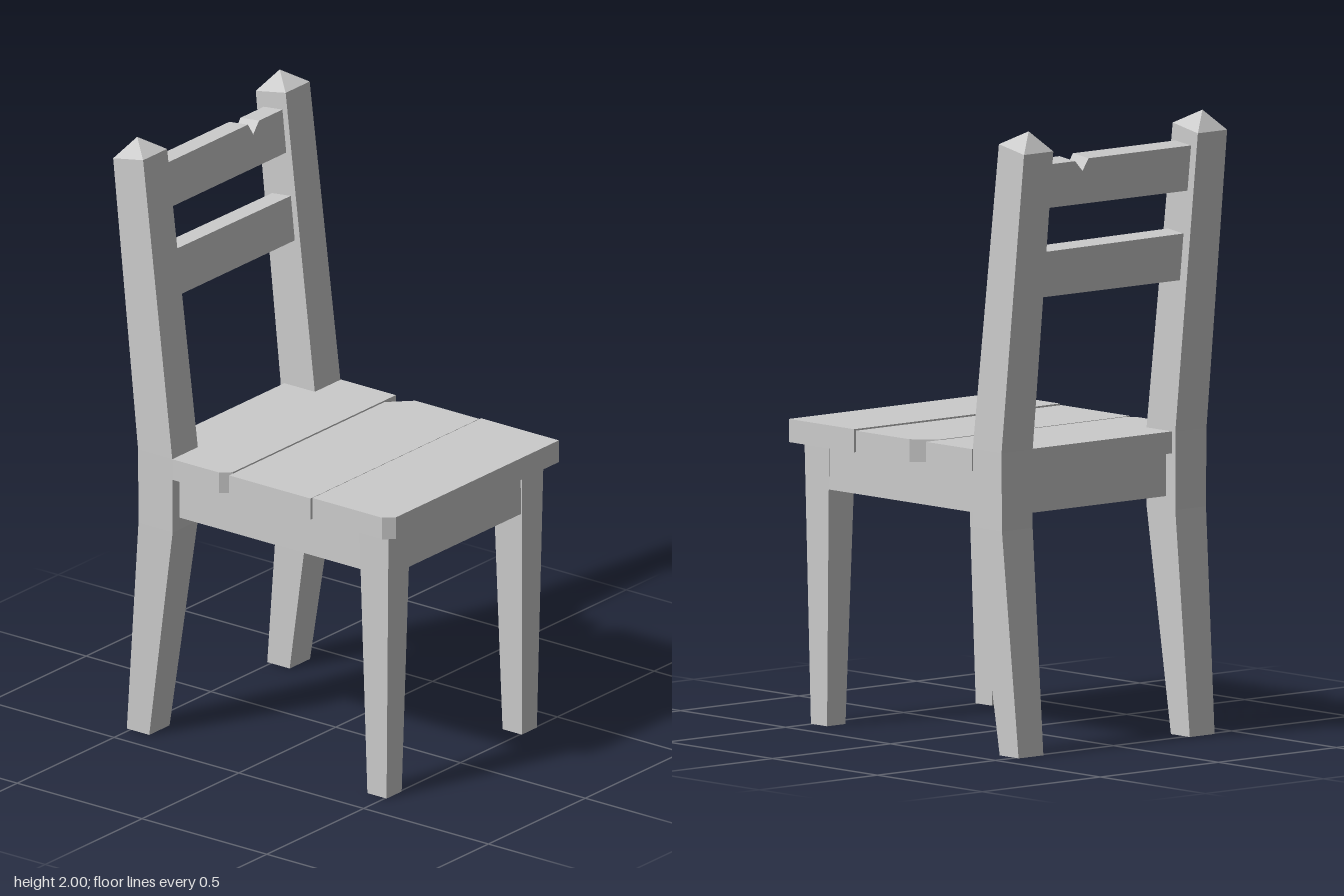
import * as THREE from 'three';

const material = new THREE.MeshStandardMaterial({ color: 0xcccccc, flatShading: true });

// Leg lofted through rectangles [yBack, yFront, xBack, xFront, zInner, zOuter]; optional peak [x, y, z]
function legGeometry(sections, side, peak) {
  const rings = sections.map(([yb, yf, xb, xf, zi, zo]) => {
    const z0 = Math.min(zi * side, zo * side), z1 = Math.max(zi * side, zo * side);
    return [[xb, yb, z0], [xb, yb, z1], [xf, yf, z1], [xf, yf, z0]];
  });
  const pos = [];
  const tri = (...points) => points.forEach((p) => pos.push(...p));
  const quad = (a, b, c, d) => { tri(a, b, c); tri(a, c, d); };

  for (let r = 0; r < rings.length - 1; r++) {
    for (let i = 0; i < 4; i++) {
      const j = (i + 1) % 4;
      quad(rings[r][i], rings[r][j], rings[r + 1][j], rings[r + 1][i]);
    }
  }
  const [b0, b1, b2, b3] = rings[0];
  quad(b3, b2, b1, b0);
  const top = rings[rings.length - 1];
  if (peak) {
    const tip = [peak[0], peak[1], peak[2] * side];
    for (let i = 0; i < 4; i++) tri(top[i], top[(i + 1) % 4], tip);
  } else quad(...top);

  const geometry = new THREE.BufferGeometry();
  geometry.setAttribute('position', new THREE.Float32BufferAttribute(pos, 3));
  geometry.computeVertexNormals();
  return geometry;
}

// Extrude an outline of [a, b] points
function extrude(points, depth) {
  const shape = new THREE.Shape(points.map(([a, b]) => new THREE.Vector2(a, b)));
  return new THREE.ExtrudeGeometry(shape, { depth, bevelEnabled: false });
}

// Seat board from an [x, z] outline
function plankGeometry(outline, bottom, top) {
  return extrude(outline.map(([x, z]) => [x, -z]), top - bottom)
    .rotateX(-Math.PI / 2).translate(0, bottom, 0);
}

// Leaning back slat from a [-z, y] outline; x, y place its lower front edge
function slatGeometry(outline, x, y) {
  return extrude(outline, 0.075).translate(0, 0, -0.075)
    .rotateY(Math.PI / 2).rotateZ(0.11).translate(x, y, 0);
}

function boxGeometry(x0, x1, y0, y1, z0, z1) {
  return new THREE.BoxGeometry(x1 - x0, y1 - y0, z1 - z0)
    .translate((x0 + x1) / 2, (y0 + y1) / 2, (z0 + z1) / 2);
}

export function createModel() {
  const chair = new THREE.Group();
  chair.name = 'chair';
  const add = (name, geometry) => {
    const mesh = new THREE.Mesh(geometry, material);
    mesh.name = name;
    chair.add(mesh);
  };

  for (const [label, side] of [['Left', 1], ['Right', -1]]) {
    // Bent back leg rising into a pointed post
    add('backLeg' + label, legGeometry([
      [0, 0, -0.515, -0.425, 0.31, 0.415],
      [0.72, 0.72, -0.455, -0.318, 0.302, 0.432],
      [0.97, 0.97, -0.455, -0.318, 0.302, 0.434],
      [1.935, 1.957, -0.558, -0.438, 0.306, 0.43],
    ], side, [-0.51, 2, 0.368]));
    // Tapered front leg
    add('frontLeg' + label, legGeometry([
      [0, 0, 0.428, 0.505, 0.31, 0.388],
      [0.9, 0.9, 0.405, 0.522, 0.288, 0.4],
    ], side));
    // Rail under the side of the seat
    const z = [0.343, 0.397].map((v) => v * side).sort((a, b) => a - b);
    add('sideRail' + label, boxGeometry(-0.35, 0.43, 0.76, 0.9, z[0], z[1]));
  }

  // Rails under the front and back of the seat
  add('frontRail', boxGeometry(0.46, 0.517, 0.76, 0.9, -0.31, 0.31));
  add('backRail', boxGeometry(-0.41, -0.35, 0.76, 0.9, -0.31, 0.31));

  // Seat boards: the rear one is notched around the posts, each has one chipped corner
  add('seatPlankBack', plankGeometry([
    [-0.44, -0.302], [-0.44, 0.302], [-0.318, 0.302], [-0.318, 0.434],
    [-0.13, 0.434], [-0.098, 0.405], [-0.098, -0.437], [-0.318, -0.437], [-0.318, -0.302],
  ], 0.9, 0.97));
  add('seatPlankMiddle', plankGeometry([
    [-0.09, -0.367], [-0.09, 0.434], [0.236, 0.434], [0.236, -0.437], [-0.02, -0.437],
  ], 0.898, 0.97));
  add('seatPlankFront', plankGeometry([
    [0.244, -0.437], [0.244, 0.434], [0.522, 0.434], [0.555, 0.403], [0.555, -0.437],
  ], 0.9, 0.974));

  // Back slats, the upper one with a nick in its top edge
  add('upperSlat', slatGeometry([
    [-0.31, 0], [0.31, 0], [0.31, 0.143], [0.185, 0.143],
    [0.15, 0.108], [0.128, 0.147], [-0.31, 0.147],
  ], -0.435, 1.755));
  add('lowerSlat', slatGeometry([
    [-0.31, 0], [0.31, 0], [0.31, 0.148], [-0.31, 0.152],
  ], -0.4, 1.465));

  return chair;
}
